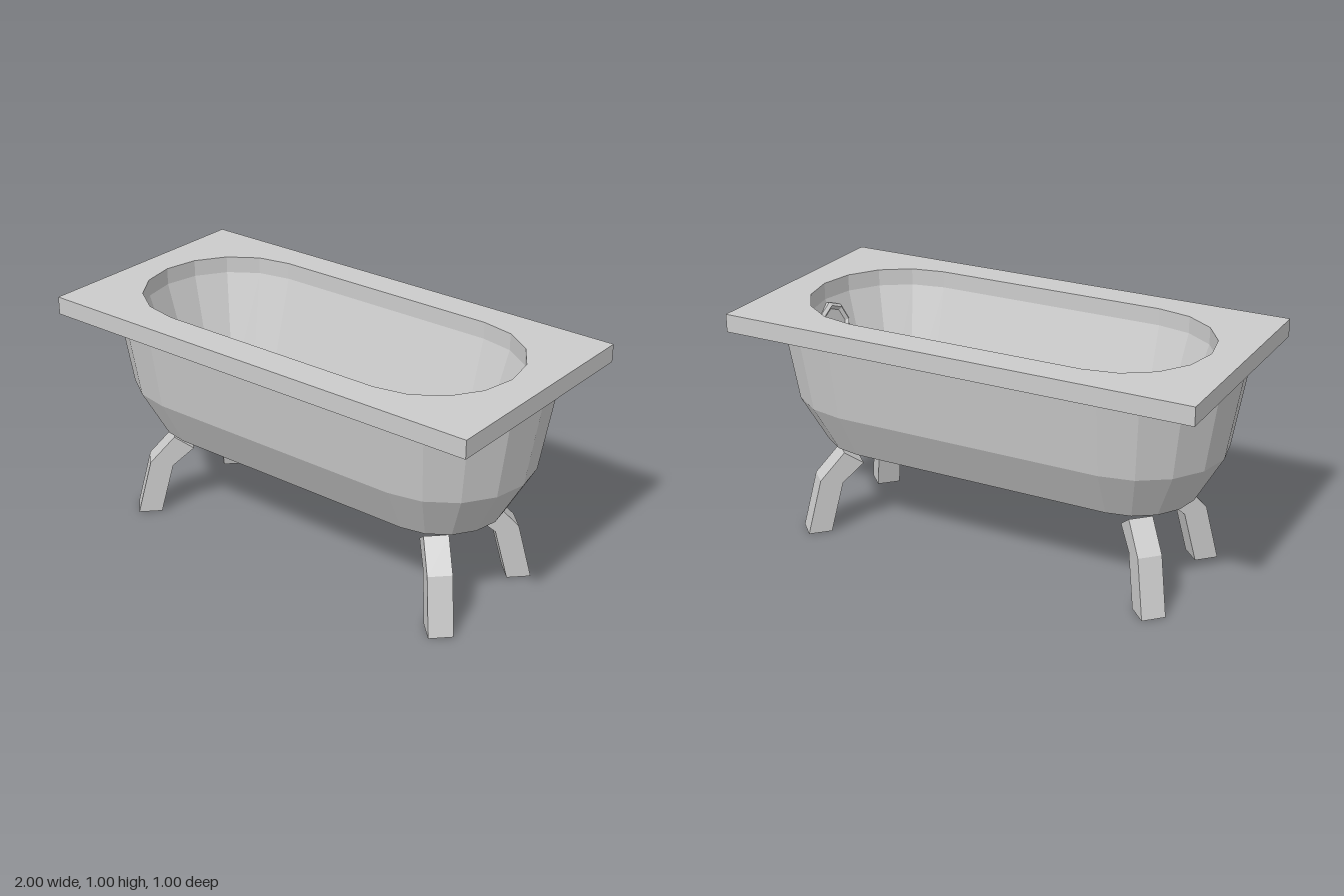
import * as THREE from 'three';

const mat = new THREE.MeshStandardMaterial({ color: 0xcccccc, flatShading: true });

function addMesh(parent, geometry, name) {
  const mesh = new THREE.Mesh(geometry, mat);
  mesh.name = name;
  parent.add(mesh);
  return mesh;
}

// Long oval outline: two half circles of radius r, centred at x = +c and -c
function oval(r, c, segments = 8) {
  const points = [];
  for (const end of [1, -1]) {
    for (let i = 0; i <= segments; i++) {
      const a = -Math.PI / 2 + (Math.PI * i) / segments;
      points.push([end * (c + r * Math.cos(a)), end * r * Math.sin(a)]);
    }
  }
  return points;
}

// Skin a stack of closed rings (each a list of [x, y, z])
function skin(rings, capped = false) {
  const n = rings[0].length;
  const index = [];
  for (let k = 0; k < rings.length - 1; k++) {
    for (let j = 0; j < n; j++) {
      const a = k * n + j, b = k * n + ((j + 1) % n);
      index.push(a, a + n, b, b, a + n, b + n);
    }
  }
  if (capped) {
    const top = (rings.length - 1) * n;
    for (let j = 1; j < n - 1; j++) {
      index.push(0, j, j + 1, top, top + j + 1, top + j);
    }
  }
  const g = new THREE.BufferGeometry();
  g.setAttribute('position', new THREE.Float32BufferAttribute(rings.flat(2), 3));
  g.setIndex(index);
  g.computeVertexNormals();
  return g;
}

// Tub shell, up the outside and down the inside: [radius, end centre, y]
function tubGeometry() {
  const profile = [
    [0, 0.585, 0.305], [0.1, 0.585, 0.305], [0.26, 0.565, 0.38], [0.365, 0.575, 0.583],
    [0.415, 0.583, 0.93], [0.365, 0.5, 0.93],
    [0.225, 0.495, 0.45], [0.125, 0.495, 0.38], [0, 0.495, 0.38],
  ];
  return skin(profile.map(([r, c, y]) => oval(r, c).map(([x, z]) => [x, y, z])));
}

// Rectangular rim slab with the oval opening
function rimGeometry() {
  const shape = new THREE.Shape();
  shape.moveTo(-1, -0.5).lineTo(1, -0.5).lineTo(1, 0.5).lineTo(-1, 0.5).closePath();
  const hole = oval(0.365, 0.5).map(([x, z]) => new THREE.Vector2(x, z));
  shape.holes.push(new THREE.Path(hole));
  const g = new THREE.ExtrudeGeometry(shape, { depth: 0.075, bevelEnabled: false });
  return g.rotateX(-Math.PI / 2).translate(0, 0.925, 0);
}

// Bent square leg set diagonally: per section [outer shift, y, inner shift, y]
function legGeometry(sx, sz) {
  const cx = 0.767, cz = 0.275, h = 0.035;
  const sections = [
    [0.035, 0, -0.035, 0],
    [-0.008, 0.24, -0.075, 0.22],
    [-0.083, 0.357, -0.14, 0.3],
  ];
  const rings = sections.map(([o, oy, i, iy]) => {
    const ring = [
      [cx + o + h, oy, cz + o - h], [cx + o - h, oy, cz + o + h],
      [cx + i - h, iy, cz + i + h], [cx + i + h, iy, cz + i - h],
    ].map(([x, y, z]) => [x * sx, y, z * sz]);
    return sx * sz > 0 ? ring : ring.reverse();
  });
  return skin(rings, true);
}

export function createModel() {
  const model = new THREE.Group();
  model.name = 'bathtub';

  addMesh(model, tubGeometry(), 'tub');
  addMesh(model, rimGeometry(), 'rim');

  for (const sx of [1, -1]) {
    for (const sz of [1, -1]) {
      addMesh(model, legGeometry(sx, sz), `${sz > 0 ? 'front' : 'back'}${sx > 0 ? 'Left' : 'Right'}Leg`);
    }
  }

  // Drain in the floor
  const drain = addMesh(model, new THREE.CylinderGeometry(0.083, 0.083, 0.012, 8), 'drain');
  drain.position.set(0.47, 0.38, 0);

  // Overflow plate with a raised ring, lying on the sloping end wall
  const overflow = new THREE.Group();
  overflow.name = 'overflow';
  const plate = [[0.1, -0.015], [0.1, 0.012], [0.085, 0.022], [0.072, 0.01], [0, 0.01]];
  addMesh(overflow, new THREE.LatheGeometry(plate.map(([r, y]) => new THREE.Vector2(r, y)), 8), 'overflowPlate');
  overflow.position.set(0.828, 0.82, 0);
  overflow.rotation.z = Math.PI / 2 - Math.atan2(0.145, 0.48);
  model.add(overflow);

  return model;
}
